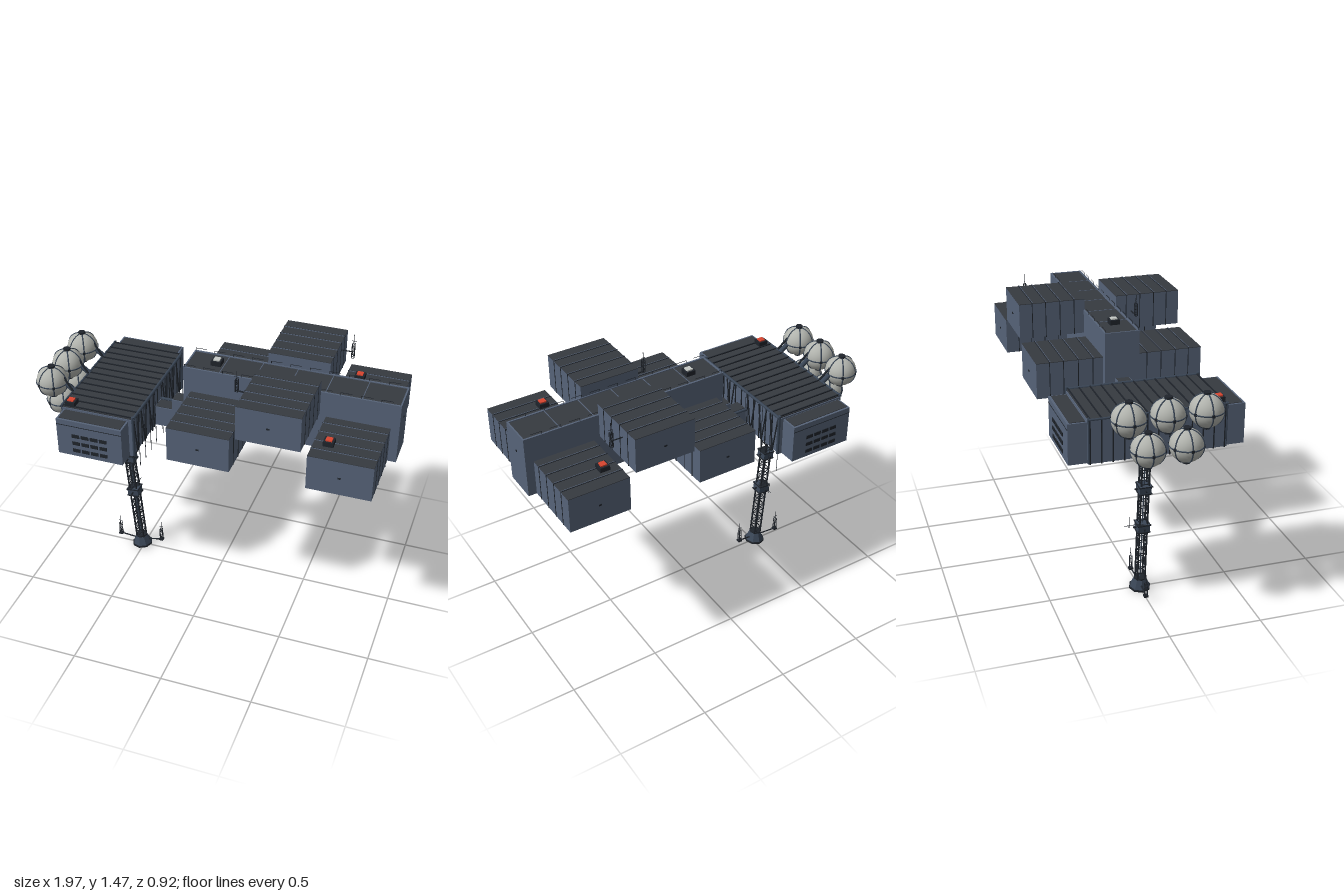
import * as THREE from 'three';

const paint = (name, color) => Object.assign(new THREE.MeshStandardMaterial({ color }), { name });
const slate = paint('slate hull', 0x566378);
const roof = paint('charcoal roof', 0x363a40);
const dark = paint('dark trim', 0x1f242b);
const steel = paint('blue steel', 0x3a4656);
const tank = paint('pale tank', 0xb2b4ae);
const red = paint('beacon red', 0xd8452f);
const white = paint('lamp white', 0xc6cac6);

function add(parent, name, geometry, material) {
  const mesh = new THREE.Mesh(geometry, material);
  mesh.name = name;
  parent.add(mesh);
  return mesh;
}

function group(parent, name) {
  const g = new THREE.Group();
  g.name = name;
  parent.add(g);
  return g;
}

// Box given by its limits on each axis
function box(parent, name, mat, x0, x1, y0, y1, z0, z1) {
  const m = add(parent, name, new THREE.BoxGeometry(x1 - x0, y1 - y0, z1 - z0), mat);
  m.position.set((x0 + x1) / 2, (y0 + y1) / 2, (z0 + z1) / 2);
  return m;
}

// Round bar between two points
function rod(parent, name, mat, a, b, r, sides = 6) {
  const p = new THREE.Vector3(...a), q = new THREE.Vector3(...b);
  const d = q.clone().sub(p);
  const m = add(parent, name, new THREE.CylinderGeometry(r, r, d.length(), sides), mat);
  m.position.copy(p).add(q).multiplyScalar(0.5);
  m.quaternion.setFromUnitVectors(new THREE.Vector3(0, 1, 0), d.normalize());
  return m;
}

// Square lattice tower rising from y0 to y1
function lattice(parent, y0, y1, half, r, bays) {
  const corners = [[-half, -half], [half, -half], [half, half], [-half, half]];
  const step = (y1 - y0) / bays;
  corners.forEach(([x, z], i) => {
    const [u, w] = corners[(i + 1) % 4];
    rod(parent, 'latticeRail', dark, [x, y0, z], [x, y1, z], r);
    for (let k = 0; k <= bays; k++) {
      const y = y0 + k * step;
      rod(parent, 'latticeRung', dark, [x, y, z], [u, y, w], r * 0.7, 4);
      // diagonals only on the two side faces
      if (k < bays && i % 2 === 0) {
        rod(parent, 'latticeBrace', dark, k % 2 ? [x, y, z] : [u, y, w],
          k % 2 ? [u, y + step, w] : [x, y + step, z], r * 0.55, 4);
      }
    }
  });
}

function antenna(parent, x, y, z, h) {
  const g = group(parent, 'antenna');
  g.position.set(x, y, z);
  lattice(g, 0, h * 0.6, 0.007, 0.0018, 4);
  rod(g, 'antennaWhip', dark, [0, h * 0.6, 0], [0, h, 0], 0.0015);
  rod(g, 'antennaCrossbar', dark, [-0.012, h * 0.72, 0], [0.012, h * 0.72, 0], 0.0015);
}

function beacon(parent, x, y, z, lens) {
  const g = group(parent, 'beacon');
  g.position.set(x, y, z);
  box(g, 'beaconBase', dark, -0.027, 0.027, 0, 0.026, -0.027, 0.027);
  box(g, 'beaconLens', lens, -0.017, 0.017, 0.026, 0.033, -0.017, 0.017);
}

// Container pod with roof sheet and seams that wrap roof, walls and floor
function pod(parent, x0, x1, y0, y1, side) {
  const g = group(parent, 'pod');
  const z0 = side > 0 ? 0.09 : -0.457, z1 = side > 0 ? 0.457 : -0.09;
  box(g, 'podBody', slate, x0, x1, y0, y1 - 0.003, z0, z1);
  box(g, 'podRoof', roof, x0, x1, y1 - 0.003, y1, z0, z1);
  for (const z of [0.15, 0.23, 0.31, 0.385]) {
    const s = z * side;
    box(g, 'podSeam', dark, x0 - 0.002, x1 + 0.002, y0 - 0.002, y1 + 0.002, s - 0.002, s + 0.002);
    box(g, 'podRoofStrip', slate, x0, x1, y1, y1 + 0.003, s + 0.002, s + 0.005);
  }
  const xm = (x0 + x1) / 2, ym = (y0 + y1) / 2, ze = 0.458 * side;
  box(g, 'podLatch', dark, xm - 0.008, xm + 0.008, ym - 0.004, ym + 0.004, ze - 0.003, ze + 0.003);
}

function sphereTank(parent, y, z) {
  const g = group(parent, 'sphereTank');
  g.position.set(-0.908, y, z);
  add(g, 'tankShell', new THREE.SphereGeometry(0.086, 28, 18), tank);
  const ring = new THREE.TorusGeometry(0.086, 0.004, 5, 36);
  add(g, 'tankEquator', ring, steel).rotation.x = Math.PI / 2;
  for (let i = 0; i < 3; i++) {
    add(g, 'tankMeridian', ring, steel).rotation.y = i * Math.PI / 3;
  }
  for (let i = 0; i < 6; i++) {
    const a = i * Math.PI / 3;
    const node = add(g, 'tankNode', new THREE.BoxGeometry(0.01, 0.014, 0.014), dark);
    node.position.set(Math.cos(a) * 0.085, 0, -Math.sin(a) * 0.085);
    node.rotation.y = a;
  }
  for (const s of [-1, 1]) {
    add(g, 'tankCap', new THREE.CylinderGeometry(0.02, 0.02, 0.012, 10), dark).position.y = s * 0.089;
  }
  // pipe and bracket to the hull
  rod(g, 'tankPipe', steel, [0.075, 0, 0], [0.13, -0.04 * Math.sign(y - 1.1), 0], 0.014, 8);
  rod(g, 'tankBracket', dark, [0.05, 0.06, 0], [0.13, -0.03, 0.02], 0.006);
}

function buildSpine(parent) {
  const g = group(parent, 'spine');
  box(g, 'spineBody', slate, -0.187, 0.973, 1.022, 1.355, -0.095, 0.095);
  box(g, 'spineRoof', roof, -0.178, 0.964, 1.355, 1.358, -0.084, 0.084);
  for (const s of [-1, 1]) {
    box(g, 'roofCurb', slate, -0.187, 0.973, 1.355, 1.362, s * 0.09 - 0.005, s * 0.09 + 0.005);
    // handrail with gaps
    for (let x = -0.18; x < 0.95; x += 0.105) {
      rod(g, 'handrailPost', dark, [x, 1.355, s * 0.09], [x, 1.378, s * 0.09], 0.0015, 4);
      rod(g, 'handrailBar', dark, [x, 1.377, s * 0.09], [x + 0.06, 1.377, s * 0.09], 0.0015, 4);
    }
  }
  for (const x of [-0.183, 0.969]) box(g, 'roofEndCurb', slate, x - 0.004, x + 0.004, 1.355, 1.362, -0.095, 0.095);
  for (const x of [0.01, 0.2, 0.39, 0.58, 0.77]) box(g, 'roofSeam', slate, x - 0.002, x + 0.002, 1.357, 1.36, -0.084, 0.084);
  box(g, 'endLatch', dark, 0.972, 0.976, 1.24, 1.25, -0.005, 0.005);
  beacon(g, -0.03, 1.358, 0, white);
  for (const side of [-1, 1]) {
    pod(g, -0.147, 0.19, 1.022, 1.22, side);
    pod(g, 0.222, 0.558, 1.232, 1.427, side);
    pod(g, 0.592, 0.928, 1.022, 1.22, side);
    beacon(g, 0.67, 1.22, 0.328 * side, red);
  }
  // antennas on arms from the raised pods
  rod(g, 'antennaArm', dark, [0.558, 1.37, -0.335], [0.62, 1.37, -0.335], 0.003);
  antenna(g, 0.62, 1.335, -0.335, 0.14);
  rod(g, 'antennaArm', dark, [0.222, 1.33, 0.18], [0.135, 1.335, 0.18], 0.004);
  antenna(g, 0.138, 1.33, 0.18, 0.12);
}

function buildHull(parent) {
  const g = group(parent, 'hull');
  box(g, 'hullBody', slate, -0.778, -0.38, 0.922, 1.15, -0.36, 0.36);
  box(g, 'hullRoof', roof, -0.778, -0.38, 1.15, 1.156, -0.355, 0.355);
  for (let i = 0; i <= 12; i++) {
    const z = -0.348 + i * 0.058;
    box(g, 'hullRib', dark, -0.782, -0.376, 0.918, 1.162, z - 0.003, z + 0.003);
  }
  for (const s of [-1, 1]) {
    const cap = group(g, 'hullEnd');
    box(cap, 'endBody', slate, -0.768, -0.398, 0.924, 1.14, s * 0.407 - 0.05, s * 0.407 + 0.05);
    box(cap, 'endRoof', roof, -0.758, -0.408, 1.14, 1.143, s * 0.405 - 0.04, s * 0.405 + 0.04);
    // rows of vents
    for (const y of [0.96, 1.005, 1.05]) {
      for (let c = 0; c < 4; c++) {
        const x = -0.66 + c * 0.052;
        box(cap, 'vent', dark, x - 0.021, x + 0.021, y - 0.01, y + 0.01, s * 0.458 - 0.003, s * 0.458 + 0.003);
      }
    }
    box(cap, 'endSeam', dark, -0.768, -0.398, 1.108, 1.111, s * 0.457 - 0.002, s * 0.457 + 0.002);
    // corner posts
    rod(g, 'cornerPost', steel, [-0.374, 0.925, s * 0.355], [-0.374, 1.168, s * 0.355], 0.008, 8);
    rod(g, 'cornerPost', steel, [-0.778, 0.925, s * 0.355], [-0.778, 1.165, s * 0.355], 0.006, 8);
    // hanging whips and V braces on the inner wall
    for (const z of [0.05, 0.128, 0.206, 0.284, 0.358]) {
      rod(g, 'hangingWhip', dark, [-0.373, 1.14, s * z], [-0.373, 0.81, s * z], 0.0018, 4);
    }
    for (const z of [0.1, 0.206, 0.31]) {
      for (const d of [-0.035, 0.035]) {
        rod(g, 'wallBrace', dark, [-0.373, 0.922, s * z], [-0.373, 1.14, s * z + d], 0.004);
      }
    }
  }
  rod(g, 'edgeRail', steel, [-0.372, 1.156, -0.36], [-0.372, 1.156, 0.36], 0.008, 8);
  rod(g, 'edgeRail', steel, [-0.782, 1.156, -0.36], [-0.782, 1.156, 0.36], 0.006, 8);
  beacon(g, -0.735, 1.156, 0.325, red);
  // stepped walkway to the spine
  box(g, 'walkwayLower', slate, -0.38, -0.278, 0.922, 1.038, -0.043, 0.037);
  box(g, 'walkwayUpper', slate, -0.278, -0.187, 0.96, 1.105, -0.04, 0.04);
  box(g, 'walkwayRoof', roof, -0.376, -0.28, 1.038, 1.041, -0.038, 0.032);
  box(g, 'walkwayRoof', roof, -0.276, -0.189, 1.105, 1.108, -0.035, 0.035);
  rod(g, 'walkwayPipe', steel, [-0.38, 1.04, -0.053], [-0.23, 1.04, -0.053], 0.008, 8);
  box(g, 'walkwayLatch', dark, -0.245, -0.215, 1.034, 1.04, -0.042, 0.042);
}

function buildMast(parent) {
  const g = group(parent, 'mast');
  g.position.set(-0.511, 0.005, 0);
  g.rotation.z = 0.085;
  lattice(g, 0.06, 0.925, 0.021, 0.005, 20);
  rod(g, 'mastCable', steel, [0, 0.06, 0], [0, 0.92, 0], 0.004);
  for (const y of [0.395, 0.632]) {
    box(g, 'mastCollar', steel, -0.032, 0.032, y - 0.024, y + 0.024, -0.032, 0.032);
    for (const e of [-0.021, 0.021]) box(g, 'collarFlange', dark, -0.036, 0.036, y + e - 0.003, y + e + 0.003, -0.036, 0.036);
    rod(g, 'collarPin', dark, [-0.045, y, 0], [0.045, y, 0], 0.005);
    rod(g, 'collarPin', dark, [0, y, -0.05], [0, y, 0.05], 0.005);
  }
  rod(g, 'sideAerialArm', dark, [0, 0.41, -0.03], [0, 0.41, -0.1], 0.0018, 4);
  rod(g, 'sideAerial', dark, [0, 0.395, -0.073], [0, 0.465, -0.073], 0.0018, 4);
  box(g, 'mastHead', steel, -0.034, 0.034, 0.9, 0.93, -0.034, 0.034);
  // flared foot
  const flare = new THREE.CylinderGeometry(0.032, 0.055, 0.055, 8).toNonIndexed();
  flare.computeVertexNormals();
  add(g, 'footFlare', flare, steel).position.y = 0.038;
  add(g, 'footPlate', new THREE.CylinderGeometry(0.06, 0.06, 0.01, 8), dark).position.y = 0.007;
  add(g, 'footCollar', new THREE.CylinderGeometry(0.034, 0.034, 0.008, 8), dark).position.y = 0.066;
  // outriggers with small antennas
  for (const [x, y] of [[-0.655, 0.035], [-0.392, 0.055]]) {
    rod(parent, 'outrigger', dark, [-0.51, 0.035, 0], [x, y, -0.012], 0.004);
    box(parent, 'outriggerPad', dark, x - 0.012, x + 0.012, y - 0.004, y + 0.006, -0.024, 0);
    antenna(parent, x, y, -0.012, 0.13);
  }
}

export function createModel() {
  const model = new THREE.Group();
  model.name = 'skyStation';
  buildSpine(model);
  buildHull(model);
  buildMast(model);
  for (const z of [-0.195, 0, 0.195]) sphereTank(model, 1.192, z);
  for (const z of [-0.098, 0.098]) sphereTank(model, 1.022, z);
  return model;
}
